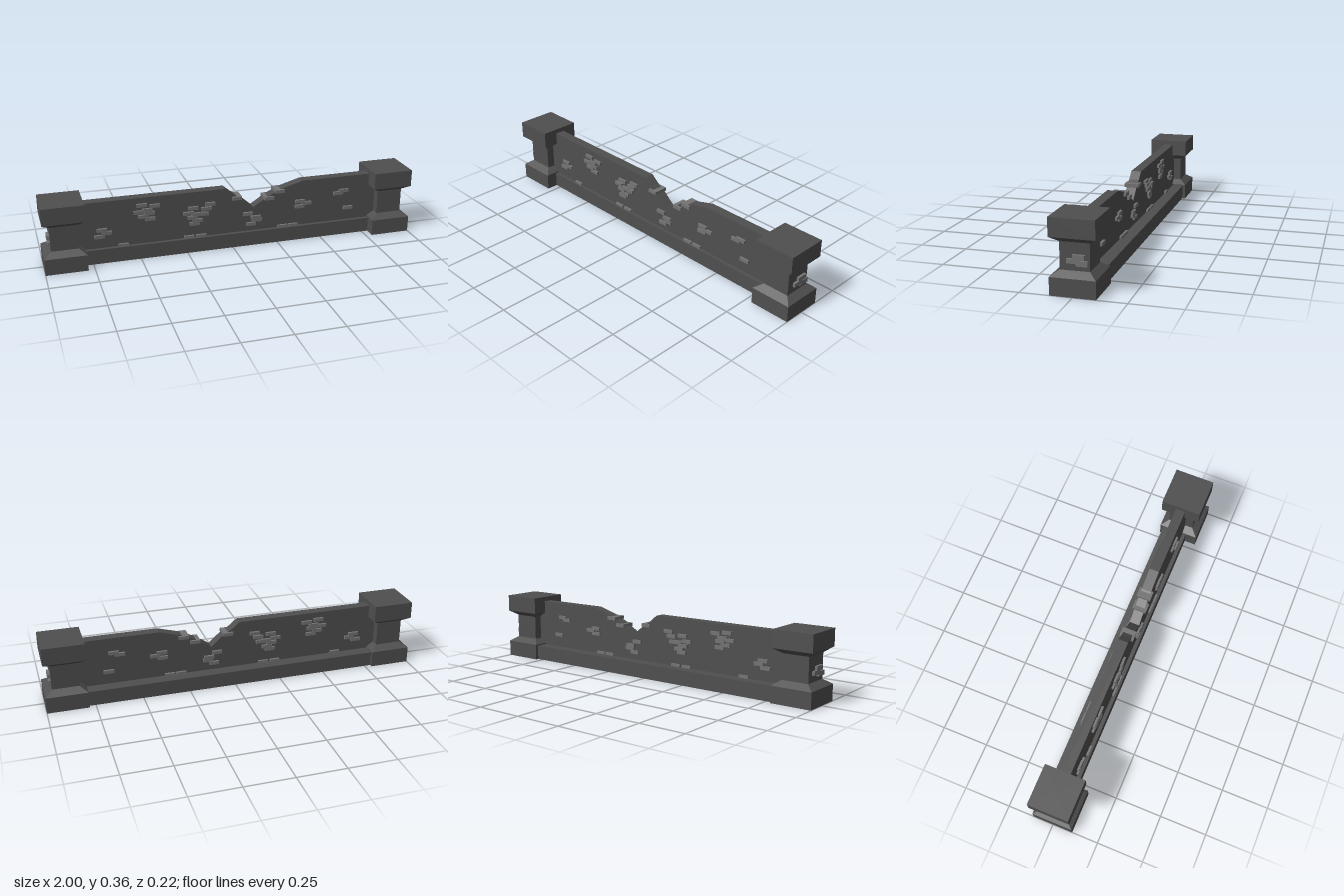
import * as THREE from 'three';

export function createModel() {
  const stone = new THREE.MeshStandardMaterial({ color: 0x4f4f4f });
  stone.name = 'dark stone';
  const brickGrey = new THREE.MeshStandardMaterial({ color: 0x737373 });
  brickGrey.name = 'light brick';

  const model = new THREE.Group();
  model.name = 'brokenWall';

  function add(parent, name, geometry, material) {
    const mesh = new THREE.Mesh(geometry, material);
    mesh.name = name;
    parent.add(mesh);
    return mesh;
  }

  // Box given by its lower and upper limits
  function box(parent, name, material, x0, x1, y0, y1, z0, z1) {
    const mesh = add(parent, name, new THREE.BoxGeometry(x1 - x0, y1 - y0, z1 - z0), material);
    mesh.position.set((x0 + x1) / 2, (y0 + y1) / 2, (z0 + z1) / 2);
  }

  // Square pillar: wide base, narrow shaft, wide cap
  const profile = [[0, 0], [0.108, 0], [0.108, 0.086], [0.07, 0.112], [0.07, 0.242],
    [0.108, 0.268], [0.108, 0.358], [0, 0.358]]
    .map(([half, y]) => new THREE.Vector2(half * Math.SQRT2, y));
  const pillarGeometry = new THREE.LatheGeometry(profile, 4, Math.PI / 4).toNonIndexed();
  pillarGeometry.computeVertexNormals();

  for (const side of [1, -1]) {
    const pillar = new THREE.Group();
    pillar.name = side > 0 ? 'leftPillar' : 'rightPillar';
    pillar.position.x = side * 0.892;
    if (side < 0) pillar.rotation.y = Math.PI;
    add(pillar, 'pillarBody', pillarGeometry, stone);
    // Exposed bricks on the outer face: z0, z1, y0, y1
    for (const [z0, z1, y0, y1] of [[-0.048, 0.008, 0.165, 0.188],
      [-0.021, 0.035, 0.147, 0.168], [-0.063, -0.007, 0.136, 0.16]]) {
      box(pillar, 'pillarBrick', brickGrey, 0.06, 0.083, y0, y1, z0, z1);
    }
    model.add(pillar);
  }

  // Plinth, deeper at the back
  box(model, 'plinth', stone, -0.83, 0.83, 0, 0.079, -0.091, 0.046);

  // Wall panel with a broken notch in its top edge
  const outline = new THREE.Shape([[-0.83, 0.07], [0.83, 0.07], [0.83, 0.333], [0.395, 0.333],
    [0.285, 0.302], [0.2, 0.265], [0.117, 0.211], [0.055, 0.265], [0.005, 0.297],
    [-0.038, 0.333], [-0.83, 0.333]].map(([x, y]) => new THREE.Vector2(x, y)));
  const wall = new THREE.ExtrudeGeometry(outline, { depth: 0.053, bevelEnabled: false });
  wall.translate(0, 0, -0.027);
  add(model, 'wallPanel', wall, stone);

  // Exposed bricks running right through the wall: centre x, centre y
  const bricks = [
    [-0.695, 0.18], [-0.672, 0.162], [-0.71, 0.145],
    [-0.485, 0.293], [-0.417, 0.284], [-0.457, 0.264], [-0.502, 0.256], [-0.446, 0.246],
    [-0.478, 0.23], [-0.443, 0.214],
    [-0.122, 0.26], [-0.213, 0.246], [-0.142, 0.236], [-0.24, 0.219], [-0.185, 0.21],
    [-0.157, 0.208], [-0.217, 0.194], [-0.191, 0.175], [-0.208, 0.158],
    [0.025, 0.275], [0.265, 0.288], [0.205, 0.255],
    [0.087, 0.179], [0.131, 0.155], [0.137, 0.139], [0.104, 0.119],
    [0.383, 0.218], [0.42, 0.204], [0.38, 0.189],
    [0.634, 0.253], [0.603, 0.241], [0.664, 0.15],
    [-0.588, 0.084], [-0.238, 0.084], [-0.172, 0.084], [0.283, 0.084], [0.344, 0.084],
  ];
  for (const [x, y] of bricks) {
    box(model, 'wallBrick', brickGrey, x - 0.027, x + 0.027, y - 0.009, y + 0.009, -0.039, 0.038);
  }

  return model;
}
